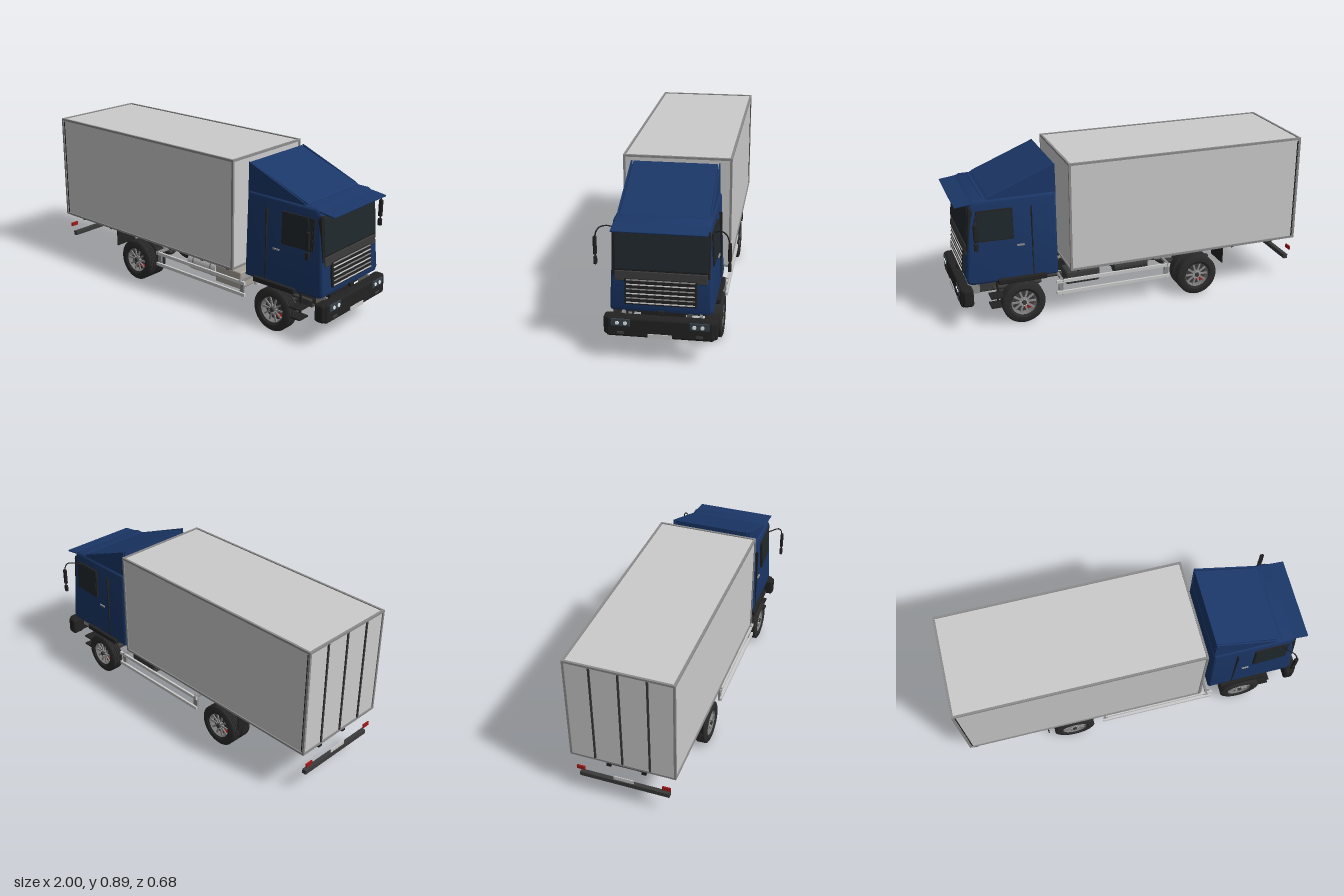
import * as THREE from 'three';
import { RoundedBoxGeometry } from 'three/addons/geometries/RoundedBoxGeometry.js';
import { toCreasedNormals } from 'three/addons/utils/BufferGeometryUtils.js';

const mat = (color, side = THREE.FrontSide) => new THREE.MeshStandardMaterial({ color, side });
const grey = mat(0xcccccc), blue = mat(0x1b3768), black = mat(0x222222), rubber = mat(0x2b2b2b);
const glass = mat(0x20282c), steel = mat(0x8c8c8c), dark = mat(0x3a3a3a), red = mat(0xa01818), lampMat = mat(0xe8eef0);
const rimMat = mat(0x777777, THREE.DoubleSide);

function add(parent, name, geo, material, x = 0, y = 0, z = 0) {
  const m = new THREE.Mesh(geo, material);
  m.name = name;
  m.position.set(x, y, z);
  parent.add(m);
  return m;
}
// Box given by its limits on each axis; r rounds the edges
function box(parent, name, material, [x0, x1], [y0, y1], [z0, z1], r = 0) {
  const s = [x1 - x0, y1 - y0, z1 - z0];
  const geo = r ? new RoundedBoxGeometry(...s, 3, r) : new THREE.BoxGeometry(...s);
  return add(parent, name, geo, material, (x0 + x1) / 2, (y0 + y1) / 2, (z0 + z1) / 2);
}
// Cylinder along a chosen axis
function cyl(parent, name, material, axis, r, len, x, y, z, seg = 28) {
  const geo = new THREE.CylinderGeometry(r, r, len, seg);
  if (axis === 'x') geo.rotateZ(Math.PI / 2);
  if (axis === 'z') geo.rotateX(Math.PI / 2);
  return add(parent, name, geo, material, x, y, z);
}
// Side profile (x, y) extruded across the width
function slab(points, halfWidth, bevel) {
  const shape = new THREE.Shape(points.map(p => new THREE.Vector2(...p)));
  const geo = new THREE.ExtrudeGeometry(shape, {
    depth: 2 * (halfWidth - bevel), bevelEnabled: bevel > 0, bevelSize: bevel, bevelThickness: bevel, bevelOffset: -bevel, bevelSegments: 3,
  });
  return geo.translate(0, 0, -halfWidth + bevel);
}
// Box limits on both sides of the centre line
const both = (f) => [1, -1].forEach(s => f(s, (a, b) => (s > 0 ? [a, b] : [-b, -a])));

function makeWheel(w) {
  const g = new THREE.Group(), h = w / 2;
  const prof = [[0.072, -h * 0.8], [0.085, -h], [0.108, -h * 0.95], [0.118, -h * 0.8]];
  // Tread ribs separated by grooves
  for (let i = -2; i <= 2; i++) {
    const c = i * h * 0.32, d = h * 0.12;
    prof.push([0.12, c - d], [0.12, c + d]);
    if (i < 2) prof.push([0.115, c + d * 1.1], [0.115, c + h * 0.32 - d * 1.1]);
  }
  prof.push([0.118, h * 0.8], [0.108, h * 0.95], [0.085, h], [0.072, h * 0.8]);
  const lathe = pts => toCreasedNormals(new THREE.LatheGeometry(pts.map(p => new THREE.Vector2(...p)), 40).rotateX(Math.PI / 2), 0.5);
  add(g, 'tyre', lathe(prof), rubber);
  add(g, 'rim', lathe([[0.074, -h * 0.8], [0.066, -h * 0.4], [0.066, h * 0.4], [0.072, h * 0.8], [0.076, h * 0.85]]), rimMat);
  cyl(g, 'brakeDisc', dark, 'z', 0.064, 0.006, 0, 0, -h * 0.1);
  box(g, 'brakeCaliper', red, [0.005, 0.045], [-0.045, -0.024], [-h * 0.1, h * 0.3]);
  for (let i = 0; i < 10; i++) {
    const a = i * Math.PI / 5;
    const s = box(g, 'spoke', steel, [-0.025, 0.025], [-0.005, 0.005], [h * 0.4, h * 0.6]);
    s.position.set(Math.cos(a) * 0.043, Math.sin(a) * 0.043, h * 0.5);
    s.rotation.z = a;
    cyl(g, 'wheelNut', grey, 'z', 0.0025, 0.005, Math.cos(a + 0.3) * 0.02, Math.sin(a + 0.3) * 0.02, h * 0.72, 6);
  }
  cyl(g, 'hubPlate', steel, 'z', 0.026, 0.012, 0, 0, h * 0.5);
  cyl(g, 'hub', dark, 'z', 0.012, 0.025, 0, 0, h * 0.62);
  return g;
}

function makeCargoBox() {
  const g = new THREE.Group();
  g.name = 'cargoBox';
  box(g, 'boxBody', grey, [-0.992, 0.38], [0.275, 0.885], [-0.285, 0.285]);
  both((s, z) => {
    for (const y of [0.272, 0.878]) box(g, 'longEdge', steel, [-0.998, 0.386], [y, y + 0.012], z(0.279, 0.291));
    for (const x of [-0.998, 0.374]) box(g, 'cornerPost', steel, [x, x + 0.012], [0.272, 0.89], z(0.279, 0.291));
    box(g, 'rearSeal', black, [-0.984, -0.978], [0.285, 0.87], z(0.28, 0.287));
  });
  for (const x of [-0.998, 0.374]) for (const y of [0.272, 0.878]) box(g, 'crossEdge', steel, [x, x + 0.012], [y, y + 0.012], [-0.285, 0.285]);
  // Rear door seams and locking bars
  for (const z of [-0.15, 0, 0.15]) box(g, 'doorBar', dark, [-0.999, -0.99], [0.285, 0.878], [z - 0.005, z + 0.005]);
  return g;
}

function makeCab() {
  const g = new THREE.Group();
  g.name = 'cab';
  // Shell leans in towards the roof, more so at the front
  const shell = slab([[0.45, 0.255], [0.92, 0.255], [0.943, 0.265], [0.951, 0.29], [0.916, 0.69], [0.905, 0.715], [0.88, 0.728], [0.455, 0.728], [0.445, 0.718], [0.445, 0.26]], 0.26, 0.016);
  const p = shell.attributes.position;
  const inset = (x, y) => 1 - 0.14 * Math.max(0, y - 0.3) - 0.16 * Math.max(0, x - 0.85) * (1 + 4 * Math.max(0, y - 0.3));
  for (let i = 0; i < p.count; i++) p.setZ(i, p.getZ(i) * inset(p.getX(i), p.getY(i)));
  shell.computeVertexNormals();
  add(g, 'cabShell', toCreasedNormals(shell, 0.6), blue);

  // Sloping front: local y starts at the base of the face
  const front = new THREE.Group();
  front.name = 'cabFront';
  front.position.set(0.951, 0.28, 0);
  front.rotation.z = 0.086;
  g.add(front);
  box(front, 'windscreenFrame', black, [-0.02, 0.005], [0.195, 0.415], [-0.24, 0.24], 0.008);
  box(front, 'windscreen', glass, [-0.01, 0.009], [0.205, 0.405], [-0.23, 0.23], 0.004);
  box(front, 'lowerTrim', dark, [-0.02, 0.008], [0.145, 0.198], [-0.23, 0.23], 0.005);
  box(front, 'grille', black, [-0.015, 0.012], [0.025, 0.16], [-0.18, 0.18], 0.004);
  for (let i = 0; i < 6; i++) box(front, 'grilleBar', i % 2 ? steel : grey, [0.01, 0.017], [0.034 + i * 0.0235, 0.039 + i * 0.0235], [-0.17, 0.17]);
  box(front, 'frontLatch', black, [-0.01, 0.01], [-0.024, -0.004], [-0.015, 0.015], 0.003);
  const visor = box(g, 'sunVisor', blue, [0.895, 0.99], [0.703, 0.711], [-0.235, 0.235], 0.003);
  visor.rotation.z = -0.13;

  both((s, z) => {
    // Door details lean with the side wall
    const side = new THREE.Group();
    side.name = 'doorDetails';
    side.position.set(0, 0.3, 0.26 * s);
    side.rotation.x = -0.0364 * s;
    g.add(side);
    box(side, 'sideWindowFrame', black, [0.688, 0.882], [0.2, 0.372], [-0.006, 0.006]).rotation.y = 0.045 * s;
    box(side, 'sideWindow', glass, [0.695, 0.875], [0.207, 0.365], [-0.008, 0.008]).rotation.y = 0.045 * s;
    box(side, 'doorHandle', steel, [0.63, 0.67], [0.152, 0.16], [-0.005, 0.005]);
    box(g, 'doorSeam', black, [0.583, 0.588], [0.265, 0.67], z(0.24, 0.261));
    box(g, 'pillarTrim', black, [0.905, 0.93], [0.45, 0.68], z(0.225, 0.242), 0.005).rotation.z = 0.086;
    box(g, 'wheelFender', black, [0.515, 0.785], [0.245, 0.275], z(0.2, 0.278), 0.006);
    // Mirrors on a bent arm
    const arm = new THREE.CatmullRomCurve3([[0.84, 0.66, 0.24], [0.86, 0.677, 0.28], [0.89, 0.677, 0.31], [0.903, 0.655, 0.325], [0.905, 0.5, 0.332]].map(([x, y, w]) => new THREE.Vector3(x, y, w * s)));
    add(g, 'mirrorArm', new THREE.TubeGeometry(arm, 28, 0.0035, 8), black);
    box(g, 'mirror', black, [0.892, 0.915], [0.54, 0.636], z(0.323, 0.34), 0.006);
    box(g, 'wideMirror', black, [0.892, 0.915], [0.488, 0.53], z(0.323, 0.34), 0.006);
  });

  // Roof wind deflector with separate side plates
  add(g, 'roofDeflector', slab([[0.447, 0.72], [0.84, 0.72], [0.81, 0.738], [0.447, 0.879]], 0.222, 0.004), blue);
  box(g, 'deflectorLip', blue, [0.78, 0.84], [0.716, 0.731], [-0.218, 0.218], 0.005);
  both(s => add(g, 'deflectorSide', slab([[0.445, 0.715], [0.83, 0.715], [0.8, 0.738], [0.447, 0.882]], 0.004, 0), blue, 0, 0, 0.231 * s));
  return g;
}

function makeBumper() {
  const g = new THREE.Group();
  g.name = 'frontBumper';
  box(g, 'bumperBar', black, [0.935, 0.992], [0.14, 0.247], [-0.27, 0.27], 0.014);
  box(g, 'numberPlate', grey, [0.985, 0.996], [0.144, 0.166], [-0.06, 0.06]);
  both((s, z) => {
    box(g, 'bumperEnd', black, [0.922, 0.982], [0.143, 0.245], z(0.21, 0.286), 0.016);
    box(g, 'headlampPanel', mat(0x36424a), [0.98, 0.995], [0.2, 0.24], z(0.148, 0.245), 0.003);
    for (const w of [0.172, 0.212]) cyl(g, 'headlamp', lampMat, 'x', 0.01, 0.008, 0.995, 0.219, w * s, 20);
    box(g, 'fogLamp', dark, [0.98, 0.996], [0.156, 0.171], z(0.178, 0.215), 0.003);
  });
  return g;
}

function makeChassis() {
  const g = new THREE.Group();
  g.name = 'chassis';
  both((s, z) => {
    box(g, 'frameRail', black, [-0.955, 0.9], [0.2, 0.262], z(0.085, 0.11));
    box(g, 'boxSupport', black, [-0.955, 0.37], [0.258, 0.276], z(0.085, 0.11));
    box(g, 'mudFlap', black, [-0.538, -0.532], [0.175, 0.275], z(0.14, 0.285));
    box(g, 'bumperBracket', steel, [0.875, 0.94], [0.18, 0.25], z(0.19, 0.2));
    for (const y of [0.11, 0.165]) box(g, 'cabStep', black, [0.755, 0.83], [y, y + 0.008], z(0.2, 0.275));
    box(g, 'stepHanger', black, [0.775, 0.785], [0.11, 0.255], z(0.2, 0.207));
    // Side guard
    for (const y of [0.137, 0.205]) box(g, 'sideGuardRail', grey, [-0.205, 0.465], [y, y + 0.018], z(0.273, 0.285));
    for (const x of [-0.2, 0.425]) {
      box(g, 'guardPost', steel, [x, x + 0.025], [0.13, 0.225], z(0.262, 0.274));
      box(g, 'guardBracket', steel, [x, x + 0.012], [0.21, 0.225], z(0.1, 0.285));
    }
    for (const x of [-0.38, 0.65]) box(g, 'leafSpring', dark, [x - 0.14, x + 0.14], [0.15, 0.165], z(0.105, 0.13), 0.005);
    box(g, 'tailLamp', red, [-1, -0.992], [0.178, 0.2], z(0.215, 0.26));
  });
  for (const x of [-0.93, -0.72, -0.5, -0.25, 0, 0.25, 0.42, 0.88]) box(g, 'crossMember', black, [x - 0.012, x + 0.012], [0.205, 0.255], [-0.09, 0.09]);
  for (const x of [-0.85, -0.6, -0.1, 0.15, 0.34]) box(g, 'floorBearer', black, [x - 0.008, x + 0.008], [0.262, 0.276], [-0.28, 0.28]);
  box(g, 'rearBumper', dark, [-0.99, -0.966], [0.12, 0.145], [-0.25, 0.25]);
  box(g, 'rearPlate', grey, [-0.995, -0.99], [0.158, 0.18], [-0.055, 0.055]);

  // Drive train
  cyl(g, 'rearAxle', steel, 'z', 0.022, 0.42, -0.38, 0.122, 0);
  add(g, 'differential', new THREE.SphereGeometry(0.05, 24, 16), dark, -0.38, 0.122, 0);
  cyl(g, 'frontAxle', dark, 'z', 0.018, 0.44, 0.65, 0.122, 0);
  box(g, 'engineSump', dark, [0.6, 0.74], [0.073, 0.12], [-0.04, 0.04], 0.006);
  box(g, 'engine', dark, [0.5, 0.86], [0.115, 0.256], [-0.07, 0.07], 0.01);
  cyl(g, 'driveShaft', steel, 'x', 0.013, 0.88, 0.06, 0.15, 0).rotation.z = 0.06;

  // Equipment between the axles
  cyl(g, 'fuelTank', grey, 'x', 0.06, 0.21, 0.115, 0.21, 0.185, 36);
  for (const x of [0.05, 0.18]) cyl(g, 'tankStrap', steel, 'x', 0.0615, 0.01, x, 0.21, 0.185, 36);
  box(g, 'batteryBox', mat(0xa8a29a), [0.23, 0.415], [0.155, 0.255], [0.135, 0.255], 0.008);
  cyl(g, 'airFilter', grey, 'y', 0.018, 0.1, 0.43, 0.205, 0.13);
  box(g, 'silencer', dark, [0.2, 0.4], [0.165, 0.245], [-0.24, -0.13], 0.015);
  cyl(g, 'airTank', dark, 'x', 0.035, 0.2, 0, 0.205, -0.17);
  cyl(g, 'exhaustPipe', dark, 'x', 0.012, 0.25, 0.5, 0.2, -0.15);
  return g;
}

export function createModel() {
  const truck = new THREE.Group();
  truck.name = 'boxTruck';
  truck.add(makeCargoBox(), makeCab(), makeBumper(), makeChassis());
  // Single front wheels, twin rear wheels
  for (const s of [1, -1]) {
    for (const [name, x, z, w] of [['frontWheel', 0.65, 0.248, 0.075], ['rearOuterWheel', -0.38, 0.252, 0.066], ['rearInnerWheel', -0.38, 0.178, 0.066]]) {
      const wheel = makeWheel(w);
      wheel.name = name;
      wheel.position.set(x, 0.12, z * s);
      if (s < 0) wheel.rotation.y = Math.PI;
      truck.add(wheel);
    }
  }
  return truck;
}
